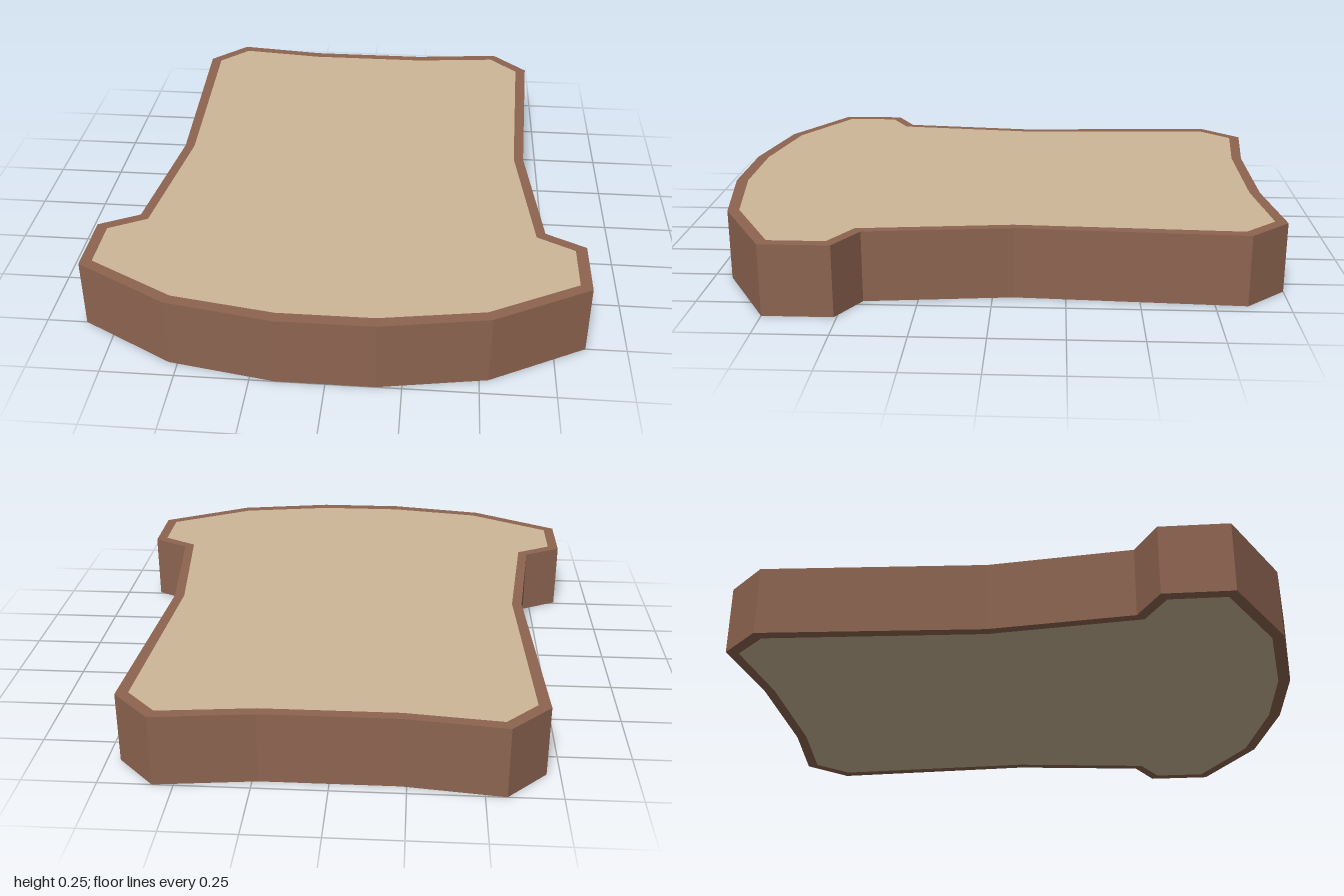
import * as THREE from 'three';

const THICKNESS = 0.25;

// Right half of each outline as [x, z], from the back edge to the front edge
const OUTER = [[0.23, -0.96], [0.57, -1], [0.705, -0.86], [0.665, -0.07], [0.722, 0.435],
  [0.86, 0.51], [0.86, 0.75], [0.53, 0.935], [0.165, 1]];
const INNER = [[0.23, -0.922], [0.555, -0.958], [0.663, -0.845], [0.629, -0.07], [0.69, 0.46],
  [0.82, 0.532], [0.82, 0.728], [0.515, 0.897], [0.162, 0.957]];

// Mirror a half outline into a closed loop
function mirrored(half) {
  const left = half.map(([x, z]) => [-x, z]).reverse();
  return [...half, ...left].map(([x, z]) => new THREE.Vector2(x, z));
}

// Extrude a flat shape and lay it down on y = 0
function slab(name, shape, color) {
  const geometry = new THREE.ExtrudeGeometry(shape, { depth: THICKNESS, bevelEnabled: false });
  geometry.rotateX(Math.PI / 2).translate(0, THICKNESS, 0);
  const mesh = new THREE.Mesh(geometry, new THREE.MeshStandardMaterial({ color, flatShading: true }));
  mesh.name = name;
  return mesh;
}

export function createModel() {
  const group = new THREE.Group();
  group.name = 'breadSlice';

  // Thin crust ring around the slice
  const crustShape = new THREE.Shape(mirrored(OUTER));
  crustShape.holes.push(new THREE.Path(mirrored(INNER)));
  group.add(slab('crust', crustShape, 0x8d6450));

  // Pale crumb filling the ring, flush on both faces
  group.add(slab('crumb', new THREE.Shape(mirrored(INNER)), 0xcdb698));

  return group;
}
